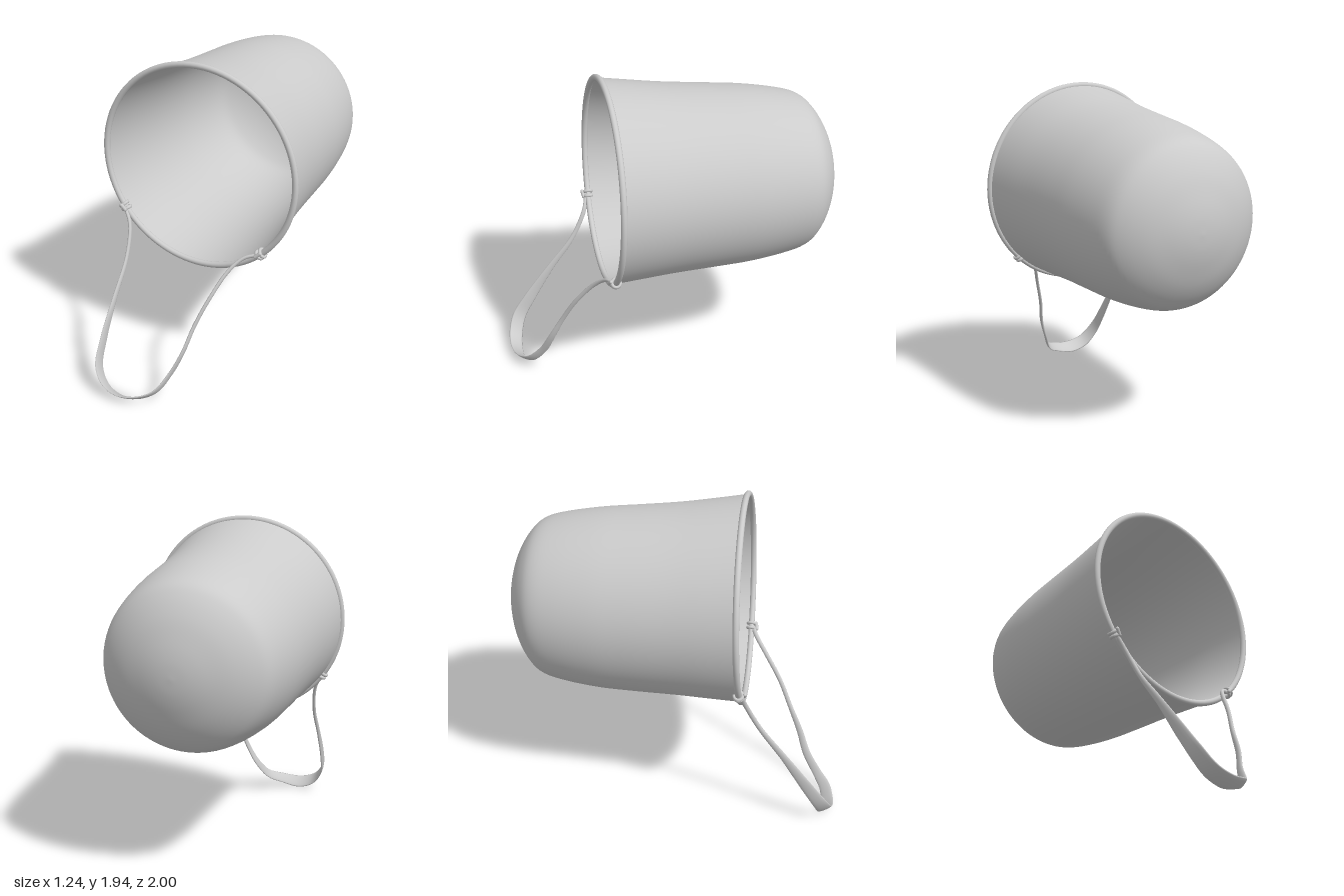
import * as THREE from 'three';
import { mergeVertices } from 'three/addons/utils/BufferGeometryUtils.js';

const material = new THREE.MeshStandardMaterial({ color: 0xcccccc, side: THREE.DoubleSide });
const RIM_Z = 0.38, RIM_R = 0.601;

// Leaning, slightly bowed axis: maps section coordinates (dx, dy) at depth s into the model.
function place(dx, dy, s) {
  const t = (RIM_Z - s) / 1.38;
  return new THREE.Vector3(
    dx - 0.09 * t + 0.035 * t * t,
    dy + 1.325 - 0.115 * t + 0.04 * t * t,
    s - 0.045 * dx - 0.04 * dy
  );
}

// Moves every vertex by the leaning axis, then welds the seams and smooths.
function lean(geometry) {
  geometry.deleteAttribute('uv');
  geometry.deleteAttribute('normal');
  const p = geometry.attributes.position;
  for (let i = 0; i < p.count; i++) {
    const v = place(p.getX(i), p.getY(i), p.getZ(i));
    p.setXYZ(i, v.x, v.y, v.z);
  }
  const welded = mergeVertices(geometry, 1e-5);
  welded.computeVertexNormals();
  return welded;
}

function add(parent, name, geometry) {
  const mesh = new THREE.Mesh(geometry, material);
  mesh.name = name;
  parent.add(mesh);
  return mesh;
}

// Domed shell, from the crown at the back to the open mouth
function shellGeometry() {
  const profile = [
    [0, -1], [0.09, -0.993], [0.19, -0.97], [0.31, -0.925], [0.41, -0.86], [0.47, -0.785],
    [0.505, -0.65], [0.533, -0.45], [0.547, -0.25], [0.563, 0], [0.582, 0.2], [0.6, RIM_Z]
  ].map(([r, s]) => new THREE.Vector2(r, s));
  const points = new THREE.SplineCurve(profile).getPoints(55);
  points[0].x = 0;
  return lean(new THREE.LatheGeometry(points, 80).rotateX(Math.PI / 2));
}

// Strap: flattened tube that widens at the bottom. Each stop is x, y, z, width, thickness.
function strapGeometry() {
  const stops = [
    [-0.485, 0.975, 0.425, 0.028, 0.02], [-0.435, 0.88, 0.45, 0.028, 0.02],
    [-0.405, 0.7, 0.54, 0.03, 0.02], [-0.398, 0.5, 0.69, 0.045, 0.018],
    [-0.39, 0.3, 0.83, 0.075, 0.016], [-0.367, 0.16, 0.92, 0.09, 0.015],
    [-0.3, 0.07, 0.952, 0.095, 0.014], [-0.2, 0.036, 0.956, 0.095, 0.014],
    [-0.08, 0.056, 0.935, 0.075, 0.014], [0, 0.095, 0.88, 0.06, 0.015],
    [0.06, 0.2, 0.8, 0.05, 0.016], [0.11, 0.33, 0.745, 0.04, 0.018],
    [0.145, 0.48, 0.675, 0.03, 0.02], [0.2, 0.64, 0.595, 0.028, 0.02],
    [0.265, 0.79, 0.49, 0.028, 0.02], [0.33, 0.86, 0.425, 0.028, 0.02],
    [0.415, 0.885, 0.385, 0.028, 0.02]
  ];
  const path = new THREE.CatmullRomCurve3(stops.map(([x, y, z]) => new THREE.Vector3(x, y, z)));
  const STEPS = 96, SIDES = 12;
  const positions = [], index = [];
  for (let i = 0; i <= STEPS; i++) {
    const u = i / STEPS;
    const k = Math.min(Math.floor(u * (stops.length - 1)), stops.length - 2);
    const f = u * (stops.length - 1) - k;
    const width = THREE.MathUtils.lerp(stops[k][3], stops[k + 1][3], f) / 2;
    const thick = THREE.MathUtils.lerp(stops[k][4], stops[k + 1][4], f) / 2;
    const center = path.getPoint(u), tangent = path.getTangent(u);
    const across = new THREE.Vector3(0, 0.6, 0.8);
    across.addScaledVector(tangent, -across.dot(tangent)).normalize();
    const normal = new THREE.Vector3().crossVectors(tangent, across);
    for (let j = 0; j < SIDES; j++) {
      const a = (j / SIDES) * Math.PI * 2;
      const v = center.clone()
        .addScaledVector(across, Math.cos(a) * width)
        .addScaledVector(normal, Math.sin(a) * thick);
      positions.push(v.x, v.y, v.z);
      if (i === STEPS) continue;
      const p = i * SIDES + j, q = i * SIDES + (j + 1) % SIDES;
      index.push(p, q, p + SIDES, q, q + SIDES, p + SIDES);
    }
  }
  const geometry = new THREE.BufferGeometry();
  geometry.setAttribute('position', new THREE.Float32BufferAttribute(positions, 3));
  geometry.setIndex(index);
  geometry.computeVertexNormals();
  return geometry;
}

// Knot: two cord loops round the rim and a short hitch across their front
function knot(name, angle) {
  const group = new THREE.Group();
  group.name = name;
  const radial = new THREE.Vector3(Math.cos(angle), Math.sin(angle), 0);
  const tangent = new THREE.Vector3(-Math.sin(angle), Math.cos(angle), 0);
  const back = new THREE.Vector3(0, 0, -1);
  group.quaternion.setFromRotationMatrix(new THREE.Matrix4().makeBasis(radial, back, tangent));
  group.position.copy(place(radial.x * RIM_R, radial.y * RIM_R, RIM_Z));
  for (const side of [-1, 1]) {
    const loop = add(group, 'cordLoop', new THREE.TorusGeometry(0.024, 0.01, 10, 24));
    loop.position.z = side * 0.013;
    loop.rotation.y = side * 0.12;
  }
  const hitch = add(group, 'hitch', new THREE.CapsuleGeometry(0.011, 0.035, 6, 12));
  hitch.rotation.x = Math.PI / 2 - 0.2;
  hitch.position.set(-0.008, -0.032, 0);
  return group;
}

export function createModel() {
  const model = new THREE.Group();
  model.name = 'bucketWithStrap';
  add(model, 'shell', shellGeometry());

  // Rolled rim round the mouth
  const rim = new THREE.TorusGeometry(RIM_R, 0.018, 14, 96);
  add(model, 'rim', lean(rim.translate(0, 0, RIM_Z)));

  add(model, 'strap', strapGeometry());
  model.add(knot('rightKnot', Math.atan2(-0.355, -0.485)));
  model.add(knot('leftKnot', Math.atan2(-0.44, 0.415)));
  return model;
}
